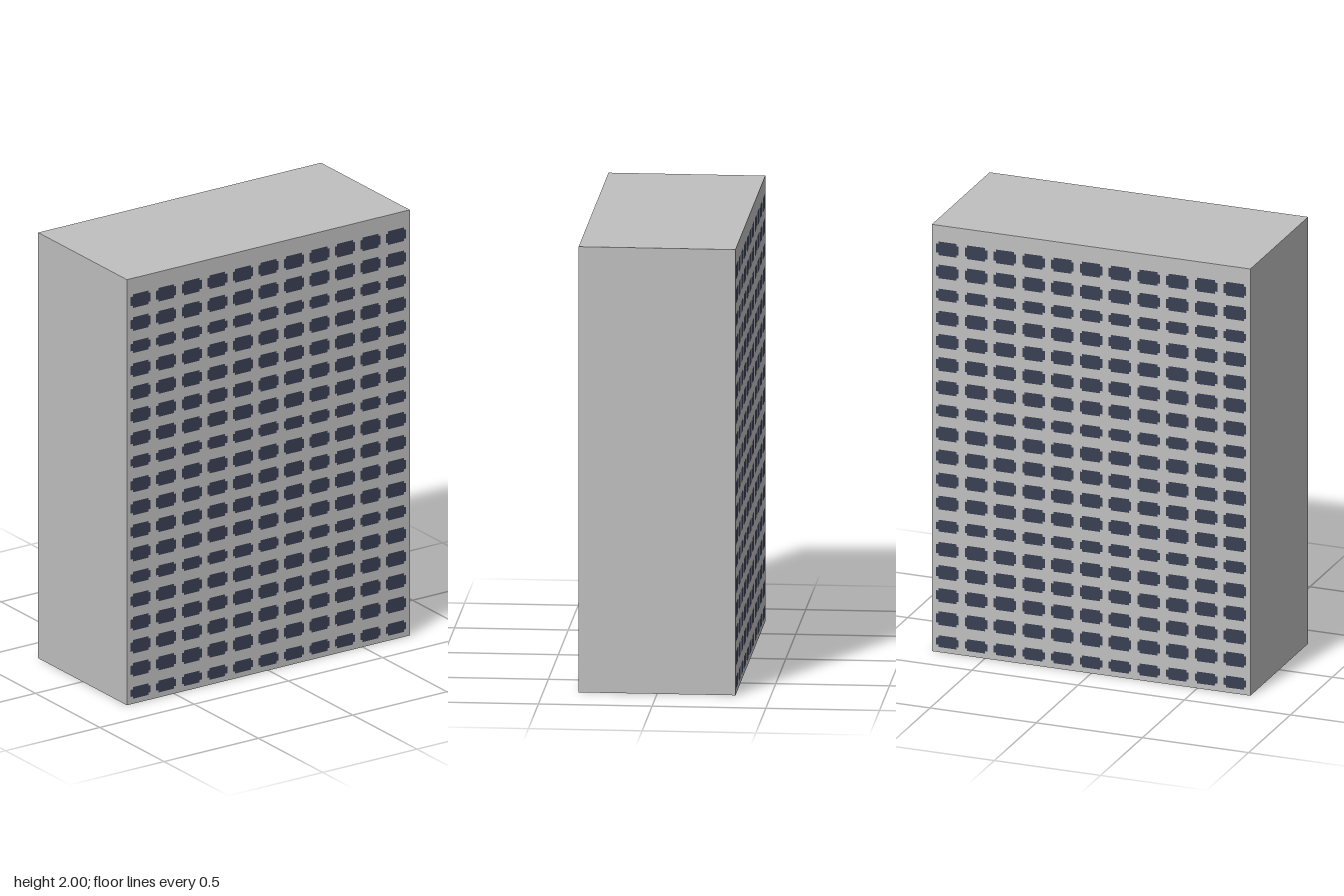
import * as THREE from 'three';

const W = 1.5, H = 2, D = 0.69;
const COLS = 11, ROWS = 18;

// Outline of one window: a rectangle with small stepped corners
function windowPoints(cx, cy, w, h) {
  const a = w / 2, b = h / 2, s = 0.011;
  return [
    [-a + s, -b], [a - s, -b], [a - s, -b + s], [a, -b + s],
    [a, b - s], [a - s, b - s], [a - s, b], [-a + s, b],
    [-a + s, b - s], [-a, b - s], [-a, -b + s], [-a + s, -b + s],
  ].map(([x, y]) => new THREE.Vector2(cx + x, cy + y));
}

export function createModel() {
  const concrete = new THREE.MeshStandardMaterial({ color: 0xc0c0c0, side: THREE.DoubleSide });
  concrete.name = 'concrete grey';
  const glass = new THREE.MeshStandardMaterial({ color: 0x3a3f54, side: THREE.DoubleSide });
  glass.name = 'dark blue glass';

  const building = new THREE.Group();
  building.name = 'building';

  // Windowed wall with holes, and panes that fill them
  const wall = new THREE.Shape([
    new THREE.Vector2(-W / 2, 0), new THREE.Vector2(W / 2, 0),
    new THREE.Vector2(W / 2, H), new THREE.Vector2(-W / 2, H),
  ]);
  const panes = [];
  for (let r = 0; r < ROWS; r++) {
    const h = r % 5 === 0 ? 0.055 : 0.064; // every fifth floor has lower windows
    for (let c = 0; c < COLS; c++) {
      const pts = windowPoints((c - (COLS - 1) / 2) * 0.1354, 0.051 + r * 0.1083, 0.106, h);
      panes.push(new THREE.Shape(pts));
      wall.holes.push(new THREE.Path(pts));
    }
  }
  const wallGeometry = new THREE.ShapeGeometry(wall);
  const paneGeometry = new THREE.ShapeGeometry(panes);

  // Front and back facades
  for (const [name, angle] of [['front', 0], ['back', Math.PI]]) {
    const facade = new THREE.Group();
    facade.name = name + 'Facade';
    const wallMesh = new THREE.Mesh(wallGeometry, concrete);
    wallMesh.name = name + 'Wall';
    const paneMesh = new THREE.Mesh(paneGeometry, glass);
    paneMesh.name = name + 'Windows';
    wallMesh.position.z = paneMesh.position.z = D / 2;
    facade.add(wallMesh, paneMesh);
    facade.rotation.y = angle;
    building.add(facade);
  }

  // Plain side walls
  for (const [name, side] of [['left', 1], ['right', -1]]) {
    const mesh = new THREE.Mesh(new THREE.PlaneGeometry(D, H), concrete);
    mesh.name = name + 'Wall';
    mesh.position.set(side * W / 2, H / 2, 0);
    mesh.rotation.y = side * Math.PI / 2;
    building.add(mesh);
  }

  // Flat roof; the underside stays open
  const roof = new THREE.Mesh(new THREE.PlaneGeometry(W, D), concrete);
  roof.name = 'roof';
  roof.position.y = H;
  roof.rotation.x = -Math.PI / 2;
  building.add(roof);

  return building;
}
